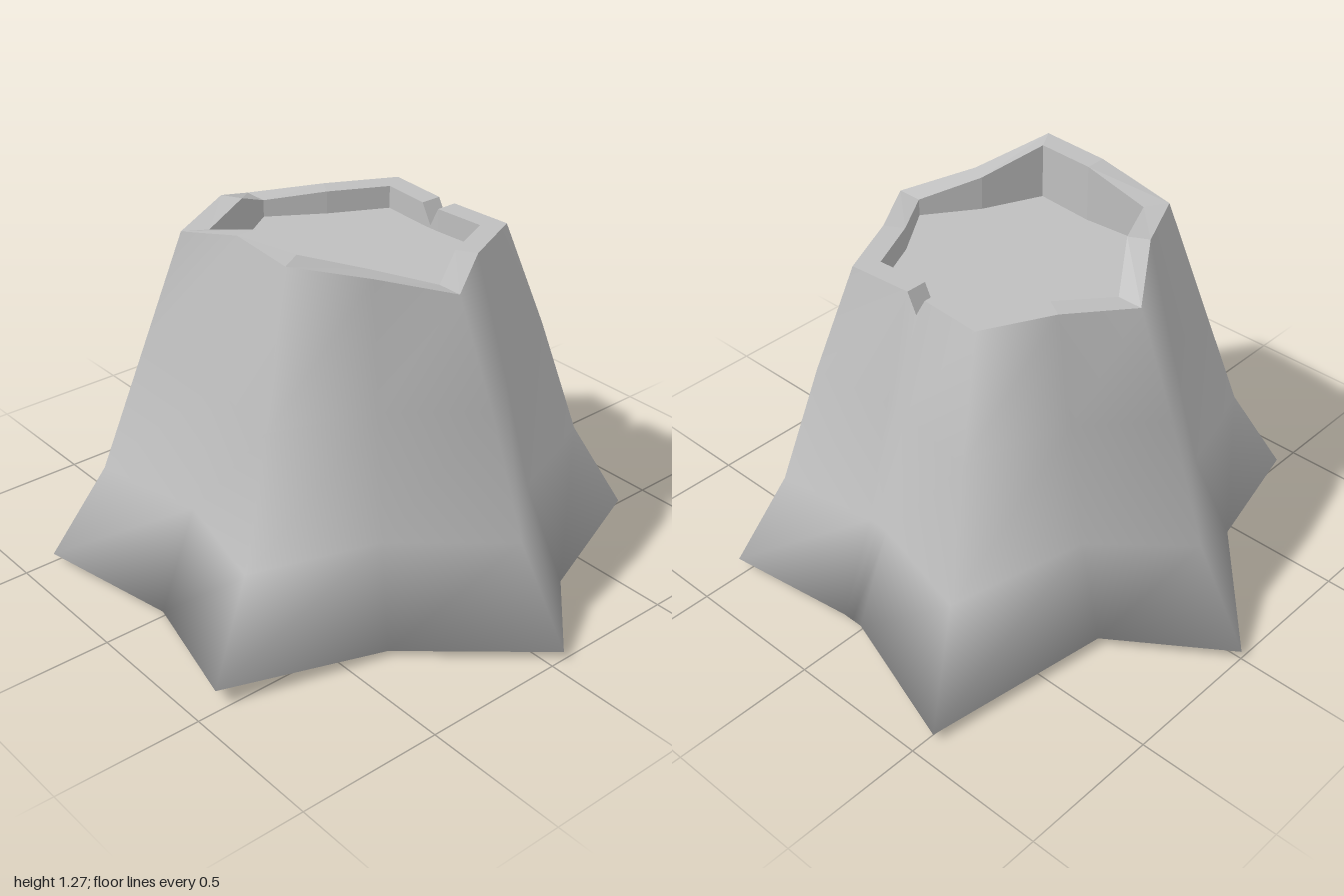
import * as THREE from 'three';

// Star-shaped foot: [x, y, z], lobe tips alternating with valleys
const FOOT = [
  [1, 0.03, -0.05], [0.63, 0.02, 0.36], [0.48, 0.06, 0.92], [-0.02, 0, 0.77],
  [-0.5, 0.03, 0.89], [-0.63, 0.06, 0.41], [-1, 0.03, 0], [-0.62, 0.03, -0.27],
  [-0.52, 0.03, -0.93], [-0.01, 0.03, -0.76], [0.03, 0.03, -0.76], [0.07, 0.03, -0.76],
  [0.53, 0.04, -0.83], [0.73, 0.03, -0.32],
].map((p) => new THREE.Vector3(...p));

// Uneven top edge, with a V notch at the back
const EDGE = [
  [0.55, 1.13, 0.02], [0.4, 1.19, 0.23], [0.29, 1.265, 0.475], [0.03, 1.27, 0.455],
  [-0.24, 1.2, 0.475], [-0.36, 1.22, 0.23], [-0.5, 1.13, 0.02], [-0.36, 1.15, -0.2],
  [-0.24, 1.15, -0.435], [-0.015, 1.15, -0.42], [0.025, 1.08, -0.42], [0.06, 1.15, -0.42],
  [0.29, 1.15, -0.435], [0.4, 1.15, -0.2],
].map((p) => new THREE.Vector3(...p));

const N = FOOT.length;
const FLOOR_Y = 1.07;

// Skin a list of rings; the surface faces outward when the rings rise
function loft(rings) {
  const positions = rings.flat().flatMap((p) => [p.x, p.y, p.z]);
  const index = [];
  for (let r = 0; r < rings.length - 1; r++) {
    for (let i = 0; i < N; i++) {
      const a = r * N + i;
      const b = r * N + ((i + 1) % N);
      index.push(a, a + N, b, b, a + N, b + N);
    }
  }
  const geometry = new THREE.BufferGeometry();
  geometry.setAttribute('position', new THREE.Float32BufferAttribute(positions, 3));
  geometry.setIndex(index);
  return geometry;
}

function flat(geometry) {
  const g = geometry.toNonIndexed();
  g.computeVertexNormals();
  return g;
}

export function createModel() {
  const stone = new THREE.MeshStandardMaterial({ color: 0xbfbfbf });
  stone.name = 'grey';
  const group = new THREE.Group();
  group.name = 'stump';
  const add = (name, geometry) => {
    const mesh = new THREE.Mesh(geometry, stone);
    mesh.name = name;
    group.add(mesh);
  };

  // Flared wall: two middle rings between the foot and the top edge
  const middle = (t, y) => FOOT.map((p, i) => EDGE[i].clone().lerp(p, t).setY(y));
  const body = loft([FOOT, middle(0.6, 0.36), middle(0.3, 0.78), EDGE]);

  // Underside shares the foot's vertices, so shading runs smoothly round it
  const outline = FOOT.map((p) => new THREE.Vector2(p.x, p.z));
  const index = Array.from(body.index.array);
  for (const [a, b, c] of THREE.ShapeUtils.triangulateShape(outline, [])) {
    const ab = outline[b].clone().sub(outline[a]);
    const ac = outline[c].clone().sub(outline[a]);
    if (ab.cross(ac) > 0) index.push(a, b, c);
    else index.push(a, c, b);
  }
  body.setIndex(index);
  body.computeVertexNormals();
  add('flaredBody', body);

  // Rim, recess wall and recess floor
  const inner = EDGE.map((p, i) => {
    const x = i >= 9 && i <= 11 ? p.x : 0.025 + (p.x - 0.025) * 0.83;
    return new THREE.Vector3(x, p.y, 0.02 + (p.z - 0.02) * 0.83);
  });
  const floorRing = inner.map((p) => p.clone().setY(FLOOR_Y));
  const centre = inner.map(() => new THREE.Vector3(0.025, FLOOR_Y, 0.02));
  add('rim', flat(loft([EDGE, inner])));
  add('recessWall', flat(loft([inner, floorRing])));
  add('recessFloor', flat(loft([floorRing, centre])));

  return group;
}
